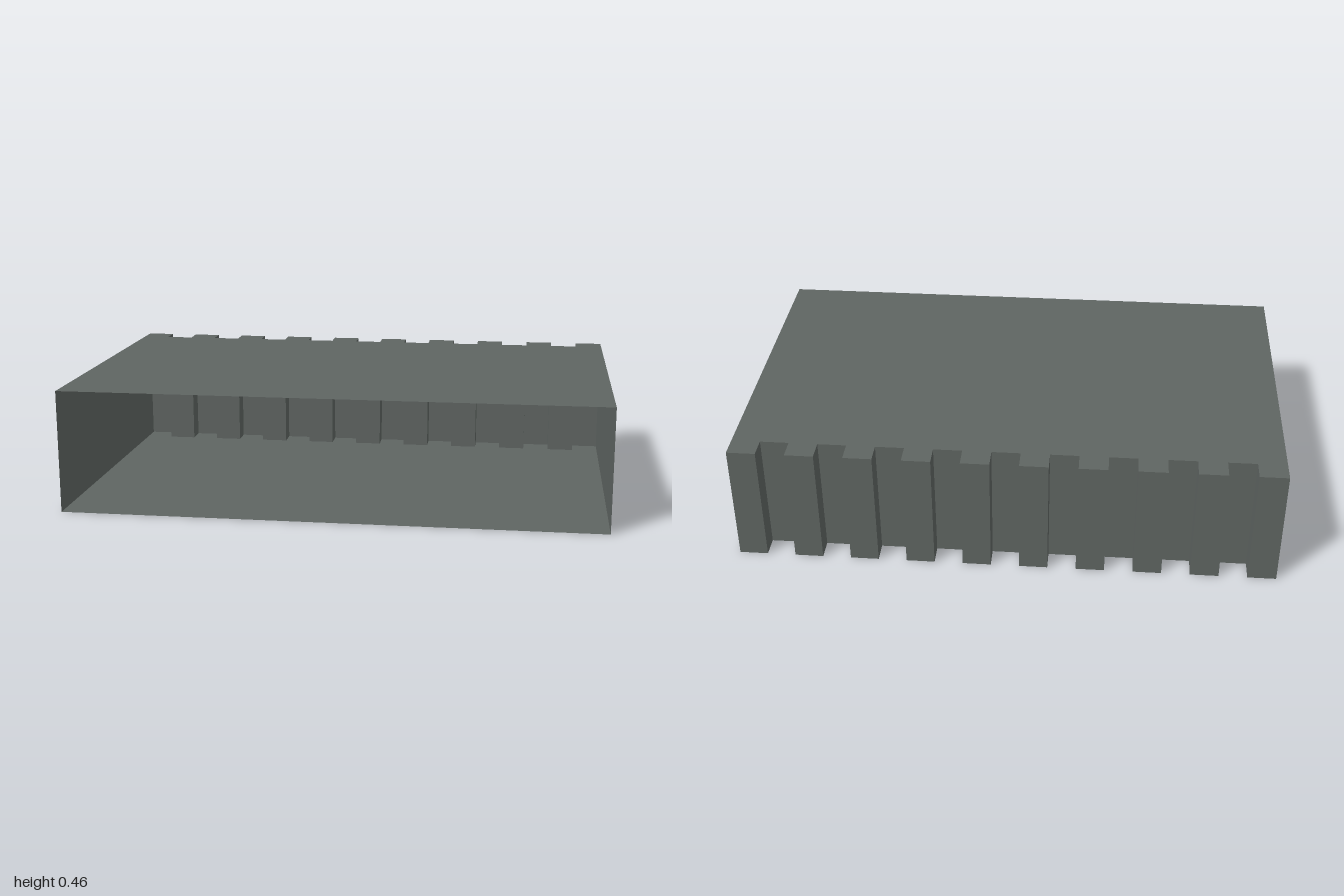
import * as THREE from 'three';

const HEIGHT = 0.457, HALF_X = 1, HALF_Z = 0.619, NOTCH = 0.078, SEGMENTS = 19;

// Plan outline from the front left corner, round the toothed back, to the front right corner
function outline() {
  const points = [[-HALF_X, HALF_Z]];
  const step = (2 * HALF_X) / SEGMENTS;
  for (let i = 0; i < SEGMENTS; i++) {
    const z = i % 2 === 0 ? -HALF_Z : -HALF_Z + NOTCH;
    points.push([-HALF_X + i * step, z], [-HALF_X + (i + 1) * step, z]);
  }
  points.push([HALF_X, HALF_Z]);
  return points;
}

// One upright flat sheet between two plan points
function wall([x0, z0], [x1, z1], material, name) {
  const geometry = new THREE.PlaneGeometry(Math.hypot(x1 - x0, z1 - z0), HEIGHT);
  const mesh = new THREE.Mesh(geometry, material);
  mesh.position.set((x0 + x1) / 2, HEIGHT / 2, (z0 + z1) / 2);
  mesh.rotation.y = Math.atan2(z1 - z0, -(x1 - x0)); // faces outward
  mesh.name = name;
  return mesh;
}

export function createModel() {
  const model = new THREE.Group();
  model.name = 'openFrontedBox';
  const slate = new THREE.MeshStandardMaterial({ color: 0x5f6562, side: THREE.DoubleSide });
  slate.name = 'slate grey';

  const points = outline();

  // Floor and roof share the toothed plan
  const plan = new THREE.Shape(points.map(([x, z]) => new THREE.Vector2(x, -z)));
  const roof = new THREE.Mesh(new THREE.ShapeGeometry(plan).rotateX(-Math.PI / 2), slate);
  roof.position.y = HEIGHT;
  roof.name = 'roof';

  const floorPlan = new THREE.Shape(points.map(([x, z]) => new THREE.Vector2(x, z)));
  const floor = new THREE.Mesh(new THREE.ShapeGeometry(floorPlan).rotateX(Math.PI / 2), slate);
  floor.name = 'floor';
  model.add(roof, floor);

  // Side walls and corrugated back; the front stays open
  const back = new THREE.Group();
  back.name = 'corrugatedBack';
  const last = points.length - 2;
  for (let i = 0; i <= last; i++) {
    if (i === 0) model.add(wall(points[0], points[1], slate, 'rightWall'));
    else if (i === last) model.add(wall(points[i], points[i + 1], slate, 'leftWall'));
    else back.add(wall(points[i], points[i + 1], slate, 'backPanel'));
  }
  model.add(back);
  return model;
}
